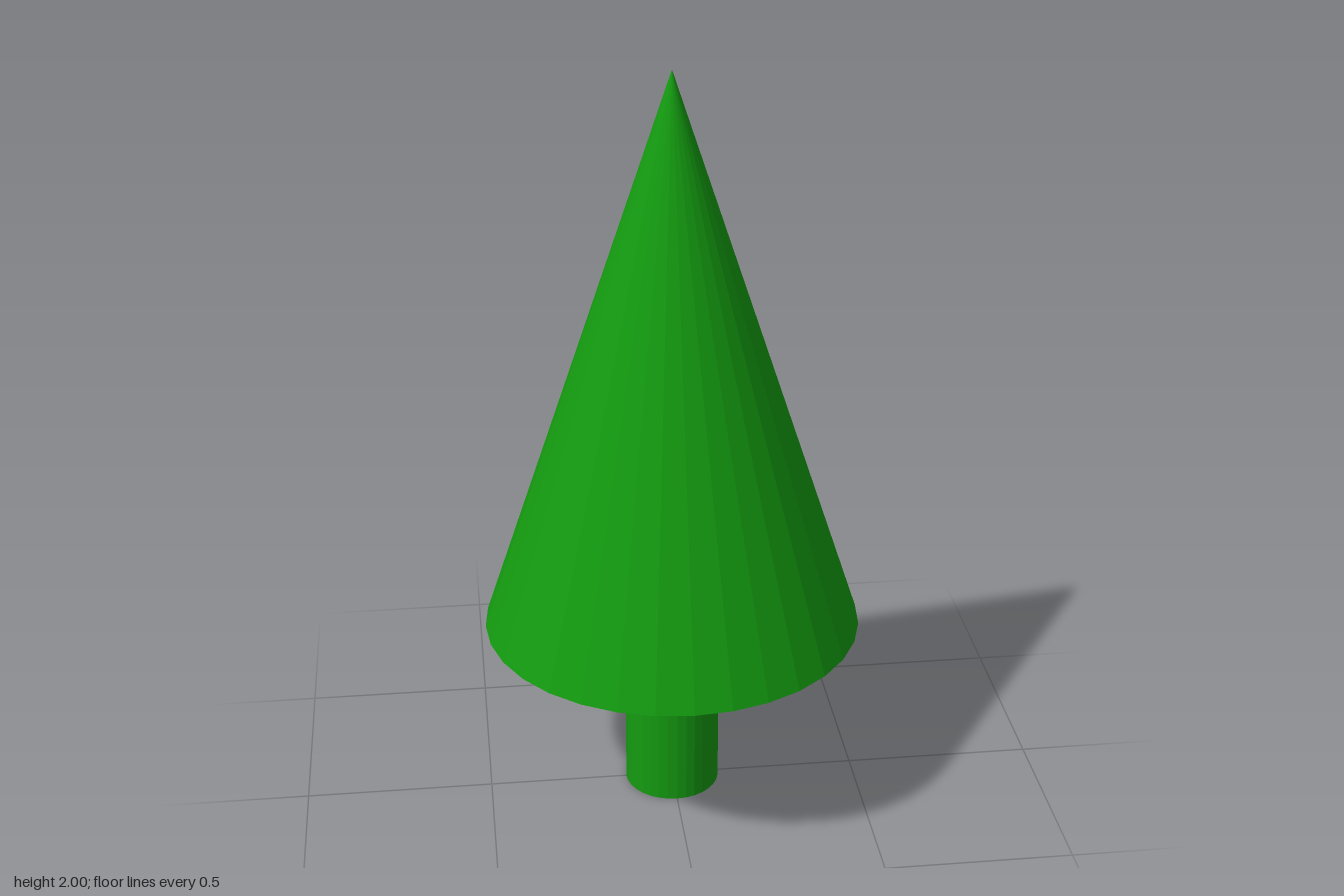
import * as THREE from 'three';

export function createModel() {
  const tree = new THREE.Group();
  tree.name = 'tree';
  const green = new THREE.MeshStandardMaterial({ color: 0x149b10, flatShading: true });
  const sides = 32;
  const trunkHeight = 0.503;
  const foliageHeight = 2 - trunkHeight;

  // Trunk: plain cylinder standing on the ground
  const trunk = new THREE.Mesh(
    new THREE.CylinderGeometry(0.127, 0.127, trunkHeight, sides), green);
  trunk.name = 'trunk';
  trunk.position.y = trunkHeight / 2;

  // Foliage: one closed cone resting on the trunk
  const foliage = new THREE.Mesh(
    new THREE.ConeGeometry(0.498, foliageHeight, sides), green);
  foliage.name = 'foliage';
  foliage.position.y = trunkHeight + foliageHeight / 2;

  tree.add(trunk, foliage);
  return tree;
}
